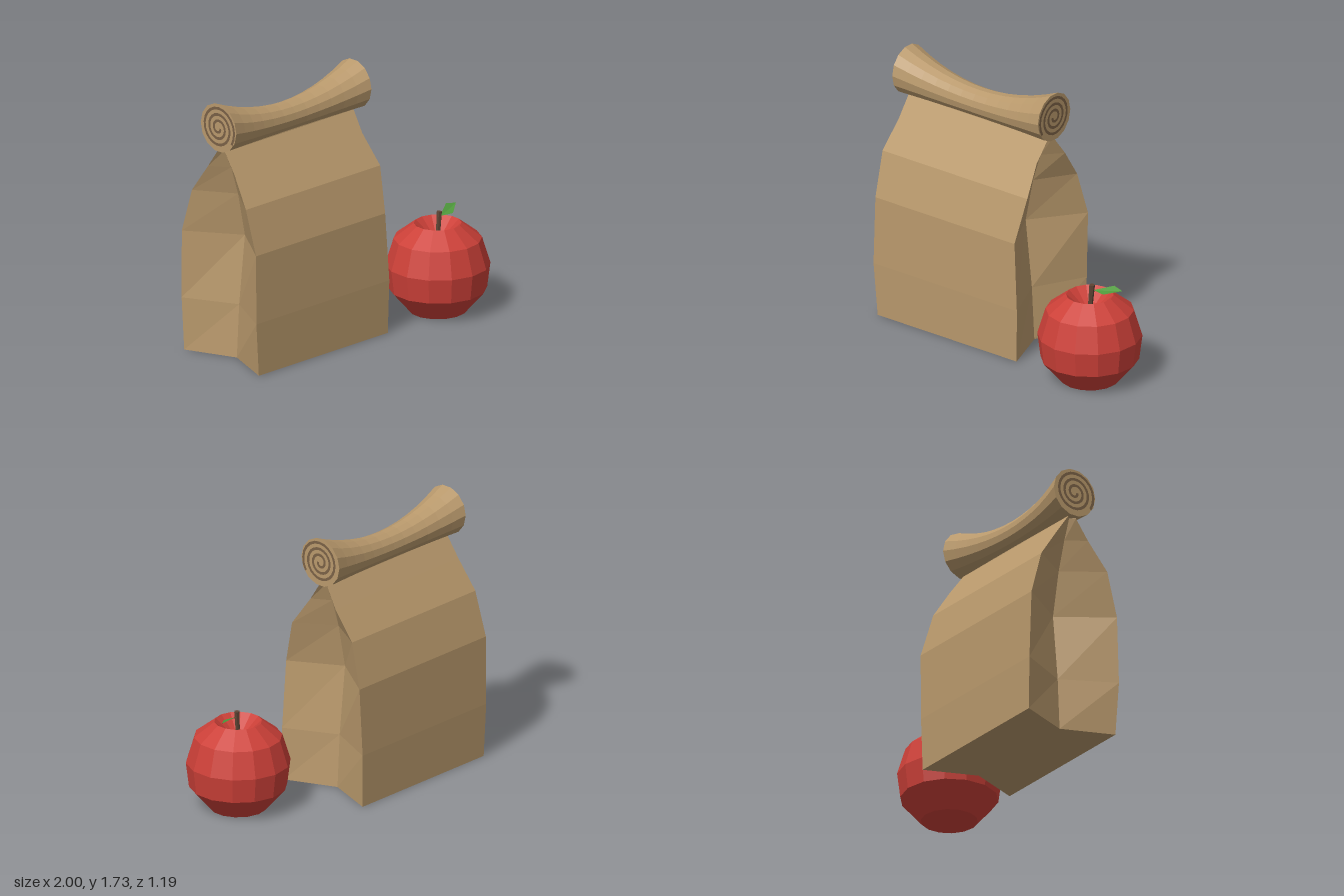
import * as THREE from 'three';

const mat = (name, color, opts = {}) => {
  const m = new THREE.MeshStandardMaterial({ color, flatShading: true, ...opts });
  m.name = name;
  return m;
};

const add = (parent, name, geometry, material) => {
  const mesh = new THREE.Mesh(geometry, material);
  mesh.name = name;
  parent.add(mesh);
  return mesh;
};

// Paper body: stacked six-sided sections with a gusset folded into each side
function bagGeometry() {
  // y, half depth, frontLeft, frontRight, backRight, backLeft, gusset x
  const levels = [
    [0, 0.335, -0.564, 0.562, 0.566, -0.564, 0.43],
    [0.35, 0.342, -0.592, 0.569, 0.574, -0.58, 0.41],
    [0.8, 0.332, -0.585, 0.542, 0.592, -0.588, 0.36],
    [1.09, 0.25, -0.594, 0.578, 0.571, -0.58, 0.42],
    [1.28, 0.12, -0.566, 0.548, 0.58, -0.565, 0.48],
    [1.41, 0.03, -0.563, 0.56, 0.56, -0.563, 0.53],
    [1.46, 0.02, -0.56, 0.56, 0.56, -0.56, 0.53],
  ];
  const pos = [];
  for (const [y, d, fl, fr, br, bl, g] of levels) {
    pos.push(fl, y, d, fr, y, d, g, y, 0, br, y, -d, bl, y, -d, -g, y, 0);
  }
  const index = [];
  for (let k = 0; k < levels.length - 1; k++) {
    for (let i = 0; i < 6; i++) {
      const a = k * 6 + i, b = k * 6 + (i + 1) % 6;
      index.push(a, b, b + 6, a, b + 6, a + 6);
    }
  }
  // base
  index.push(0, 2, 1, 0, 5, 2, 5, 3, 2, 5, 4, 3);
  const geo = new THREE.BufferGeometry();
  geo.setAttribute('position', new THREE.Float32BufferAttribute(pos, 3));
  geo.setIndex(index);
  geo.computeVertexNormals();
  return geo;
}

// Rolled top: a cylinder pinched toward the middle with a level underside
function rollGeometry(length) {
  const geo = new THREE.CylinderGeometry(1, 1, length, 14, 12);
  geo.rotateZ(Math.PI / 2);
  const p = geo.attributes.position;
  for (let i = 0; i < p.count; i++) {
    const t = p.getX(i) / (length / 2);
    const r = 0.094 + 0.066 * t * t;
    p.setXYZ(i, p.getX(i), 1.41 + r + p.getY(i) * r, p.getZ(i) * r);
  }
  geo.computeVertexNormals();
  return geo;
}

// Flat spiral ribbon for the gap between the paper layers
function spiralGeometry() {
  const steps = 64, turns = 3.1, start = 3.75;
  const at = (i, off) => {
    const t = i / steps;
    const r = 0.146 - 0.128 * t + off;
    const a = start - t * turns * Math.PI * 2;
    return new THREE.Vector2(r * Math.cos(a), r * Math.sin(a));
  };
  const pts = [];
  for (let i = 0; i <= steps; i++) pts.push(at(i, 0.009));
  for (let i = steps; i >= 0; i--) pts.push(at(i, -0.009));
  return new THREE.ShapeGeometry(new THREE.Shape(pts)).rotateY(Math.PI / 2);
}

function createBag(paper, gap) {
  const bag = new THREE.Group();
  bag.name = 'paperBag';
  add(bag, 'bagBody', bagGeometry(), paper);
  const length = 1.18;
  add(bag, 'rolledTop', rollGeometry(length), paper);
  const spiral = spiralGeometry();
  for (const side of [-1, 1]) {
    const mesh = add(bag, side > 0 ? 'leftRollSpiral' : 'rightRollSpiral', spiral, gap);
    mesh.position.set(side * (length / 2 + 0.003), 1.57, 0);
  }
  bag.position.set(-0.357, 0, -0.16);
  bag.rotation.y = -Math.PI / 18;
  return bag;
}

function createApple(skin, bark, green) {
  const apple = new THREE.Group();
  apple.name = 'apple';
  // faceted fruit with a dimple at both ends
  const profile = [
    [0, 0.05], [0.18, 0], [0.31, 0.15], [0.33, 0.31],
    [0.278, 0.48], [0.15, 0.58], [0.06, 0.5], [0, 0.47],
  ].map(([x, y]) => new THREE.Vector2(x, y));
  add(apple, 'fruit', new THREE.LatheGeometry(profile, 14, Math.PI / 2), skin);

  const stem = add(apple, 'stem', new THREE.CylinderGeometry(0.018, 0.014, 0.19, 6), bark);
  stem.position.set(0.008, 0.555, 0);
  stem.rotation.z = -0.09;

  // leaf creased along its midrib
  const leaf = new THREE.BufferGeometry();
  leaf.setAttribute('position', new THREE.Float32BufferAttribute([
    0.025, 0.615, 0, 0.15, 0.655, -0.045, 0.222, 0.643, -0.02,
    0.115, 0.617, 0.035, 0.13, 0.628, -0.008,
  ], 3));
  leaf.setIndex([0, 4, 1, 1, 4, 2, 0, 3, 4, 4, 3, 2]);
  leaf.computeVertexNormals();
  add(apple, 'leaf', leaf, green);

  apple.position.set(0.667, 0, 0.272);
  return apple;
}

export function createModel() {
  const paper = mat('brownPaper', 0xb9996c);
  const gap = mat('paperShadowGap', 0x7a6146, { side: THREE.DoubleSide });
  const skin = mat('appleRed', 0xcc4038);
  const bark = mat('stemBrown', 0x5e4434);
  const green = mat('leafGreen', 0x4f9a3c, { side: THREE.DoubleSide });

  const model = new THREE.Group();
  model.name = 'lunchBagWithApple';
  model.add(createBag(paper, gap), createApple(skin, bark, green));
  return model;
}
